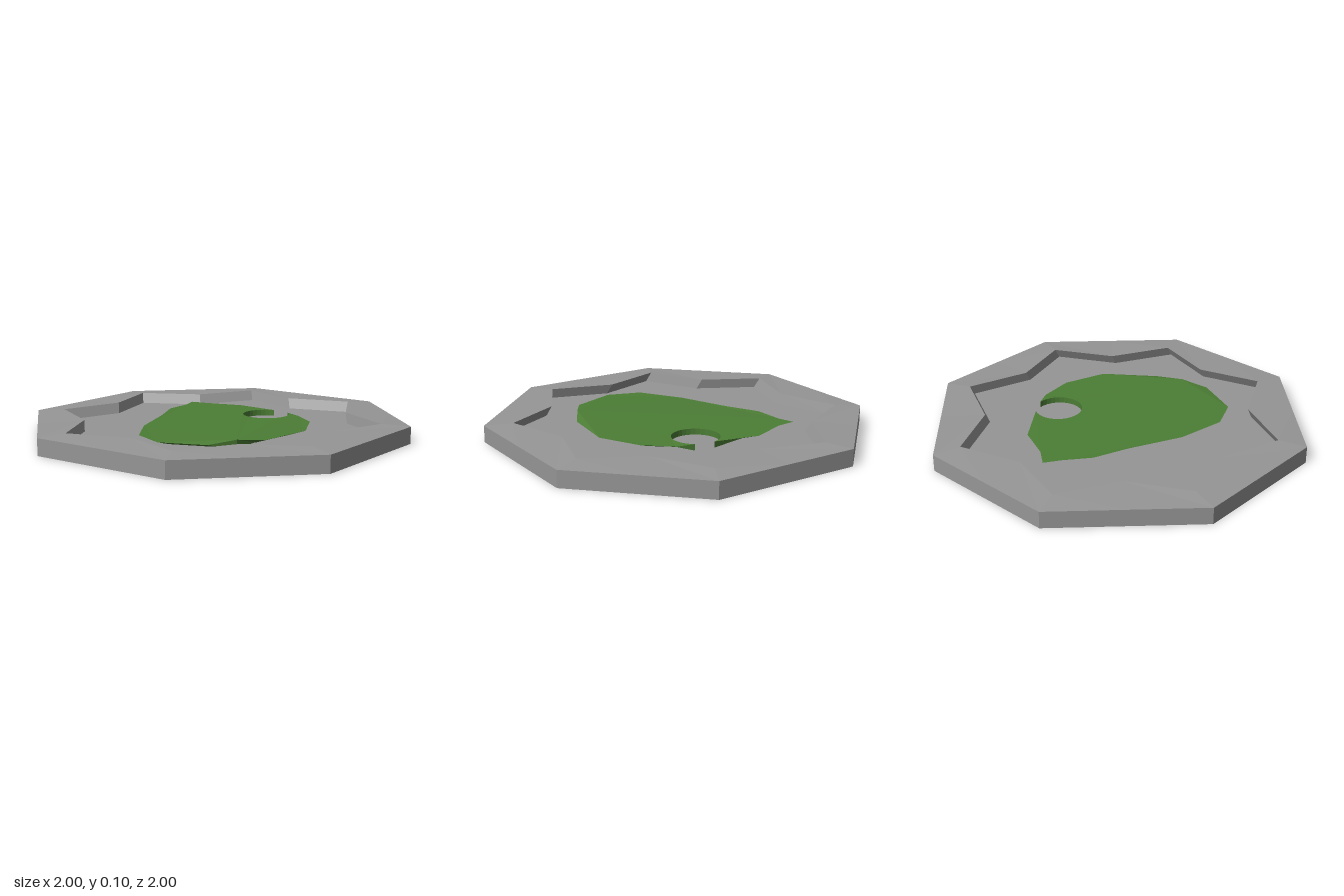
import * as THREE from 'three';

// Lofts quads through a list of closed rings of [x, y, z] points
function loft(rings) {
  const tris = [];
  for (let r = 0; r < rings.length - 1; r++) {
    const a = rings[r], b = rings[r + 1];
    for (let i = 0; i < a.length; i++) {
      const j = (i + 1) % a.length;
      tris.push(a[i], b[i], b[j], a[i], b[j], a[j]);
    }
  }
  return tris;
}

function makeMesh(name, tris, color) {
  const geometry = new THREE.BufferGeometry();
  geometry.setAttribute('position', new THREE.Float32BufferAttribute(tris.flat(), 3));
  geometry.computeVertexNormals();
  const mesh = new THREE.Mesh(geometry, new THREE.MeshStandardMaterial({ color, flatShading: true }));
  mesh.name = name;
  return mesh;
}

// Repeats a quarter outline four times around the centre
function quarterTurns(points) {
  const out = [];
  for (let k = 0, p = points; k < 4; k++, p = p.map(([x, z]) => [-z, x])) out.push(...p);
  return out;
}

const ring = (outline, y, dz = 0, scale = 1) =>
  outline.map(([x, z]) => [x * scale, y, z * scale + dz]);

// Octagonal slab with a star-shaped recess, its walls leaning towards the front
function makeBase() {
  const octagon = quarterTurns([[1, 0], [1, 0.4], [0.7, 0.7], [0.4, 1]]);
  const star = quarterTurns([[0.745, 0], [0.85, 0.35], [0.523, 0.523], [0.35, 0.853]]);
  return makeMesh('base', loft([
    ring(octagon, 0, 0, 0),
    ring(octagon, 0),
    ring(octagon, 0.095),
    ring(star, 0.105, -0.005),
    ring(star, 0.047, 0.028),
    ring(star, 0.047, 0.028, 0),
  ]), 0x969696);
}

// Irregular grass mound with undercut sides and a round bite on one edge
function makeGrass() {
  const before = [[-0.06, -0.645], [0.03, -0.575], [0.22, -0.49]];
  const after = [[0.49, -0.09], [0.51, 0.1], [0.43, 0.34], [0.17, 0.54], [0.0125, 0.583],
    [-0.145, 0.62], [-0.39, 0.51], [-0.47, 0.33], [-0.42, 0.06], [-0.29, -0.23],
    [-0.22, -0.43], [-0.11, -0.56]];
  const bite = [];
  const steps = 28, start = -1.02, end = -0.15 - 2 * Math.PI;
  for (let i = 0; i <= steps; i++) {
    const t = start + (end - start) * i / steps;
    bite.push([0.31 + 0.133 * Math.cos(t), -0.16 + 0.133 * Math.sin(t)]);
  }
  const outline = [...before, ...bite, ...after];
  const inBite = i => i >= before.length && i < before.length + bite.length;
  const top = outline.map(([x, z], i) => [x, inBite(i) ? 0.081 : 0.078 + 0.002 * Math.sin(i * 2.3), z]);
  const bottom = outline.map(([x, z], i) => {
    const s = inBite(i) ? 1 : 0.82;
    return [x * s, 0.045, z * s];
  });

  // The front edge rises to a small peak above a steep facet
  const peak = before.length + bite.length + 4;
  top[peak][1] = 0.093;
  bottom[peak] = [0.0125, 0.045, 0.583];

  const tris = loft([bottom, top]);
  const faces = THREE.ShapeUtils.triangulateShape(outline.map(p => new THREE.Vector2(...p)), []);
  for (const [i, j, k] of faces) {
    const [a, b, c] = [top[i], top[j], top[k]];
    const up = (b[2] - a[2]) * (c[0] - a[0]) - (b[0] - a[0]) * (c[2] - a[2]) > 0;
    tris.push(a, ...(up ? [b, c] : [c, b]));
  }
  return makeMesh('grassMound', tris, 0x4c7e35);
}

export function createModel() {
  const model = new THREE.Group();
  model.name = 'grassTile';
  model.add(makeBase(), makeGrass());
  return model;
}
